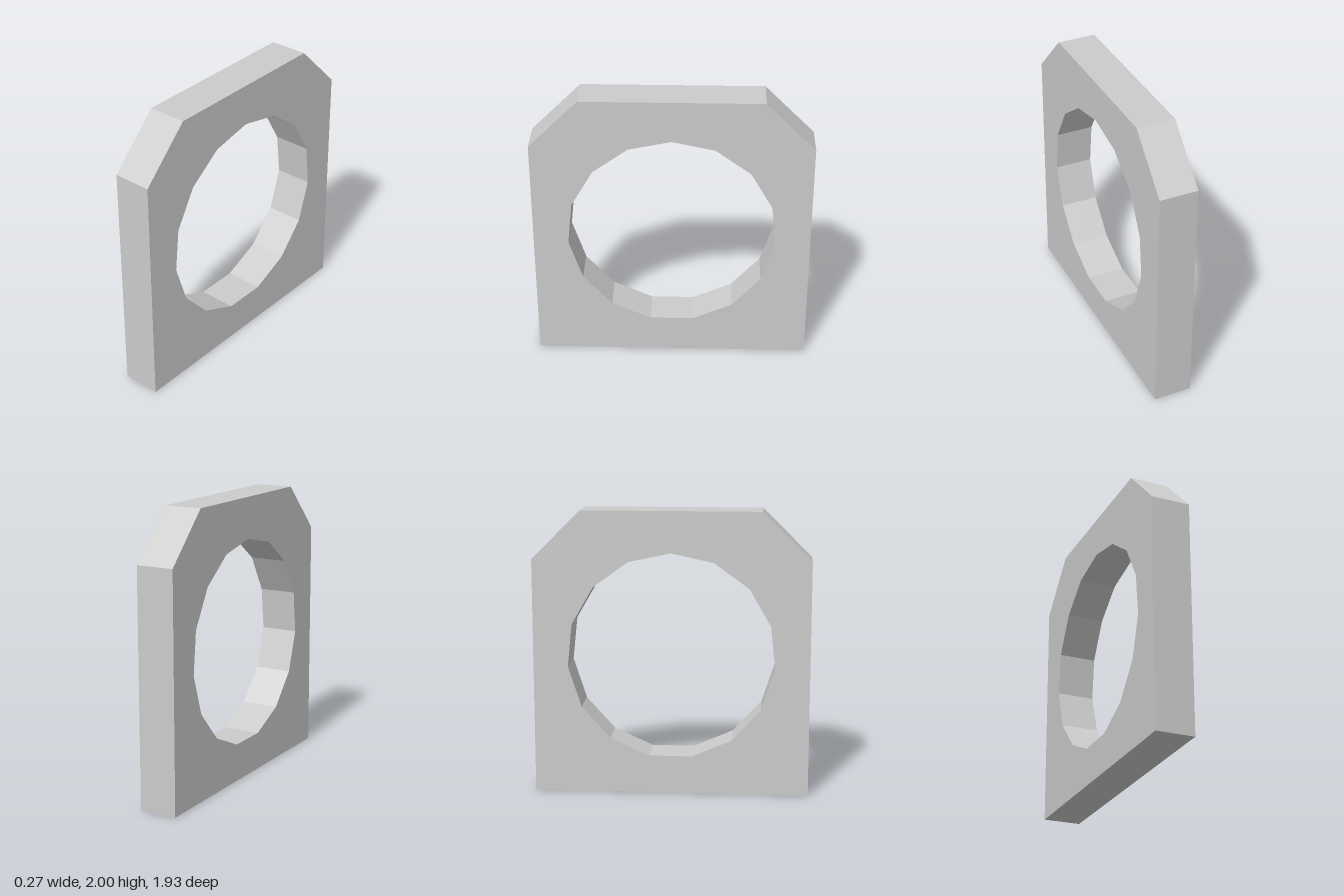
import * as THREE from 'three';

export function createModel() {
  const group = new THREE.Group();
  const thickness = 0.27;

  // Plate outline with two chamfered top corners, drawn as (z, y)
  const plate = new THREE.Shape([
    [-0.967, 0], [0.967, 0], [0.967, 1.66],
    [0.625, 2], [-0.625, 2], [-0.967, 1.66],
  ].map(([z, y]) => new THREE.Vector2(z, y)));

  // Fifteen-sided through hole with a corner at the top
  const sides = 15, radius = 0.728, centreY = 0.982;
  const corners = [];
  for (let i = 0; i < sides; i++) {
    const a = -i * Math.PI * 2 / sides;
    corners.push(new THREE.Vector2(-radius * Math.sin(a), centreY + radius * Math.cos(a)));
  }
  plate.holes.push(new THREE.Path(corners));

  // Extrude, centre the thickness and turn the plate to face sideways
  const geometry = new THREE.ExtrudeGeometry(plate, { depth: thickness, bevelEnabled: false });
  geometry.translate(0, 0, -thickness / 2);
  geometry.rotateY(-Math.PI / 2);

  const mesh = new THREE.Mesh(
    geometry,
    new THREE.MeshStandardMaterial({ color: 0xcccccc, flatShading: true }),
  );
  mesh.name = 'plateWithRoundHole';
  group.add(mesh);
  return group;
}
